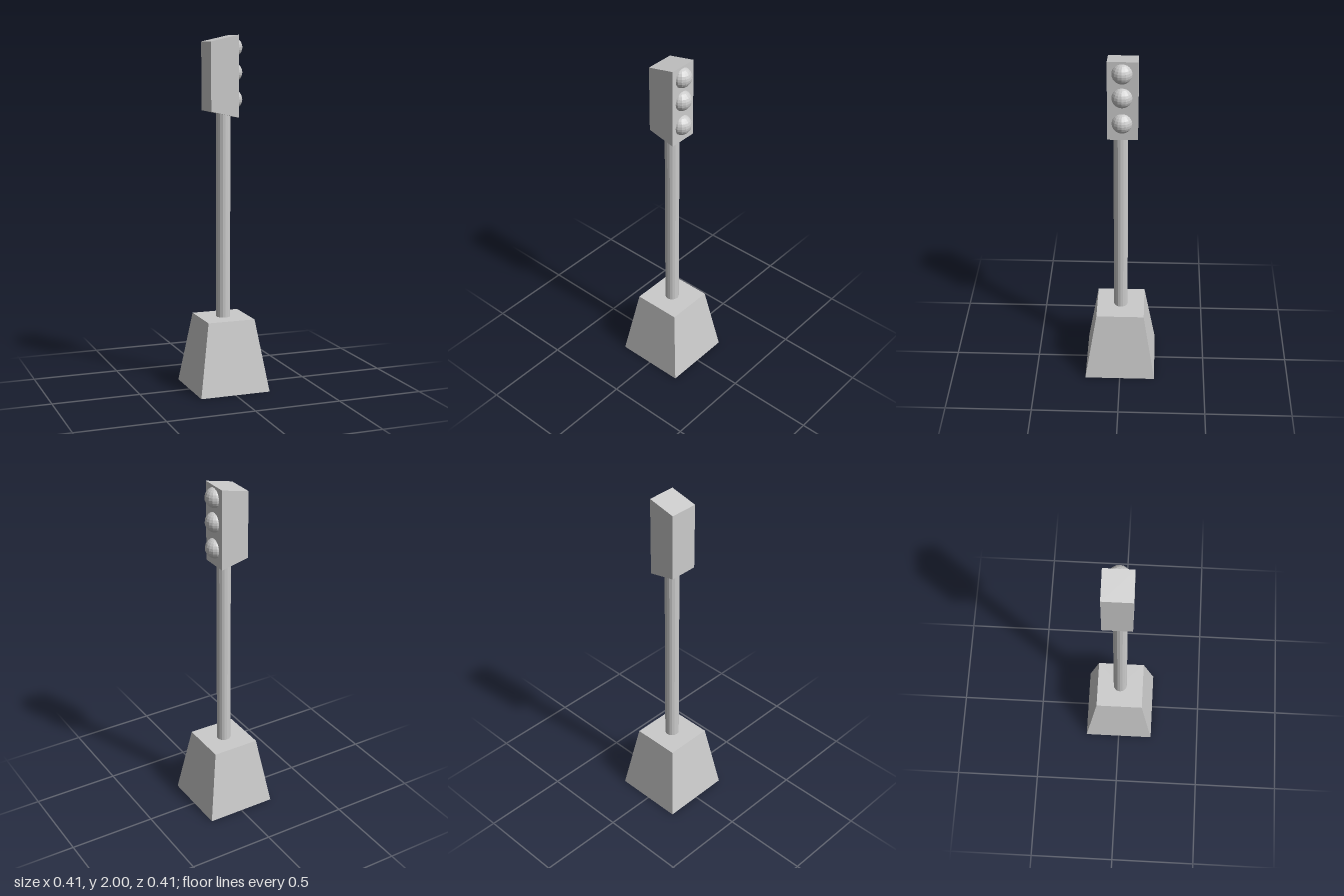
import * as THREE from 'three';

const material = new THREE.MeshStandardMaterial({ color: 0xcccccc, flatShading: true });

export function createModel() {
  const model = new THREE.Group();
  model.name = 'trafficLight';

  const add = (name, geometry, x = 0, y = 0, z = 0) => {
    const mesh = new THREE.Mesh(geometry, material);
    mesh.name = name;
    mesh.position.set(x, y, z);
    model.add(mesh);
    return mesh;
  };

  // Tapered square base: a four-sided frustum turned to face the axes
  const baseHeight = 0.41;
  const base = new THREE.CylinderGeometry(0.138 * Math.SQRT2, 0.205 * Math.SQRT2, baseHeight, 4);
  base.rotateY(Math.PI / 4);
  add('base', base, 0, baseHeight / 2, 0);

  // Pole, its top end sunk into the housing
  const poleTop = 1.6;
  add('pole', new THREE.CylinderGeometry(0.04, 0.04, poleTop - baseHeight, 16),
    0, (poleTop + baseHeight) / 2, 0);

  // Housing: trapezoid side profile, taller on the lamp side (+x)
  const profile = new THREE.Shape([
    new THREE.Vector2(-0.096, 1.582),
    new THREE.Vector2(0.066, 1.546),
    new THREE.Vector2(0.066, 2.0),
    new THREE.Vector2(-0.096, 1.964),
  ]);
  add('housing', new THREE.ExtrudeGeometry(profile, { depth: 0.164, bevelEnabled: false }), 0, 0, -0.093);

  // Three lamps, half sunk into the +x face
  const lamp = new THREE.SphereGeometry(0.057, 16, 12);
  [['topLamp', 1.932], ['middleLamp', 1.794], ['bottomLamp', 1.644]].forEach(([name, y]) => {
    add(name, lamp, 0.056, y, -0.008);
  });

  return model;
}
